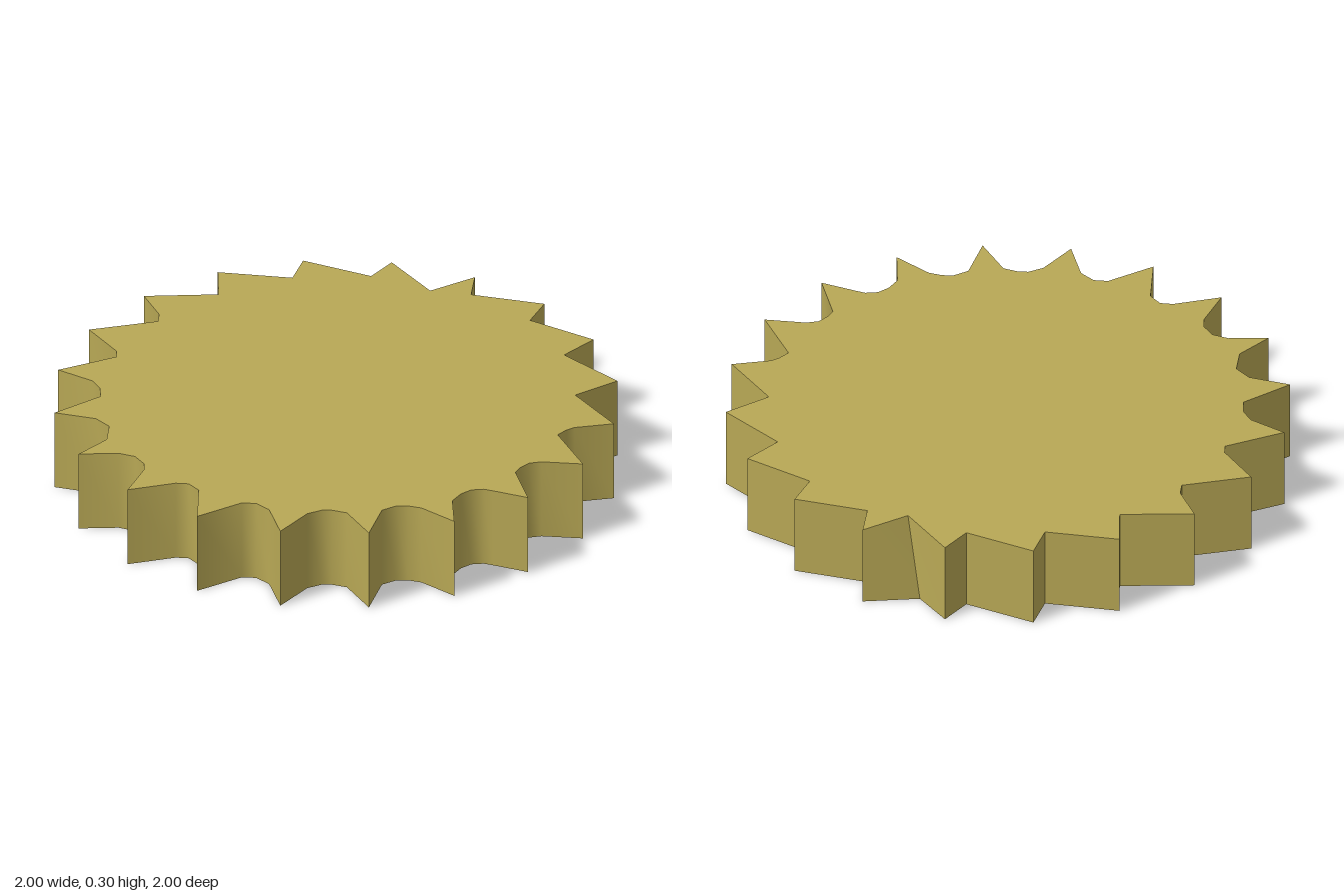
import * as THREE from 'three';
import { toCreasedNormals } from 'three/addons/utils/BufferGeometryUtils.js';

const TEETH = 20;
const HEIGHT = 0.3;

// Points (x, z) of the scalloped valley after each tooth, from +z towards +x
const valleys = [
  [[0.065, 0.84], [0.12, 0.815], [0.16, 0.82], [0.205, 0.84]],
  [[0.32, 0.8], [0.355, 0.755], [0.395, 0.73], [0.44, 0.73], [0.47, 0.745]],
  [[0.565, 0.62], [0.585, 0.59], [0.62, 0.56], [0.665, 0.555]],
  [[0.745, 0.365], [0.78, 0.335], [0.81, 0.32]],
  [[0.84, 0.085]],
  [[0.835, -0.21]],
  [[0.745, -0.475]],
  [[0.56, -0.685]],
  [[0.42, -0.73]],
  [[0.225, -0.86]],
  [[-0.052, -0.88]],
  [[-0.325, -0.79]],
  [[-0.55, -0.67], [-0.56, -0.62]],
  [[-0.73, -0.42], [-0.735, -0.38]],
  [[-0.84, -0.215], [-0.82, -0.16], [-0.825, -0.1]],
  [[-0.86, 0.06], [-0.82, 0.12], [-0.84, 0.215]],
  [[-0.81, 0.32], [-0.755, 0.35], [-0.73, 0.405], [-0.735, 0.45]],
  [[-0.635, 0.56], [-0.59, 0.57], [-0.56, 0.62], [-0.565, 0.65]],
  [[-0.42, 0.73], [-0.37, 0.74], [-0.33, 0.79]],
  [[-0.2, 0.835], [-0.145, 0.815], [-0.11, 0.82], [-0.06, 0.845]],
];

export function createModel() {
  const model = new THREE.Group();
  model.name = 'scallopedDisc';
  const brass = new THREE.MeshStandardMaterial({ color: 0xb8a855 });
  brass.name = 'brass';

  // Outline: a sharp tooth on the unit circle, then its valley
  const outline = [];
  valleys.forEach((valley, i) => {
    const a = (i / TEETH) * Math.PI * 2;
    outline.push(new THREE.Vector2(Math.sin(a), -Math.cos(a)));
    valley.forEach(([x, z]) => outline.push(new THREE.Vector2(x, -z)));
  });

  const geometry = new THREE.ExtrudeGeometry(new THREE.Shape(outline), {
    depth: HEIGHT, bevelEnabled: false,
  });
  geometry.rotateX(-Math.PI / 2);

  // One valley is shallower at its foot than at the top
  const p = geometry.attributes.position;
  for (let i = 0; i < p.count; i++) {
    const atValley = Math.hypot(p.getX(i) - 0.42, p.getZ(i) + 0.73) < 0.005;
    if (atValley && p.getY(i) < 0.01) p.setXYZ(i, 0.385, p.getY(i), -0.81);
  }

  const disc = new THREE.Mesh(toCreasedNormals(geometry, 0.9), brass);
  disc.name = 'toothedDisc';
  model.add(disc);
  return model;
}
